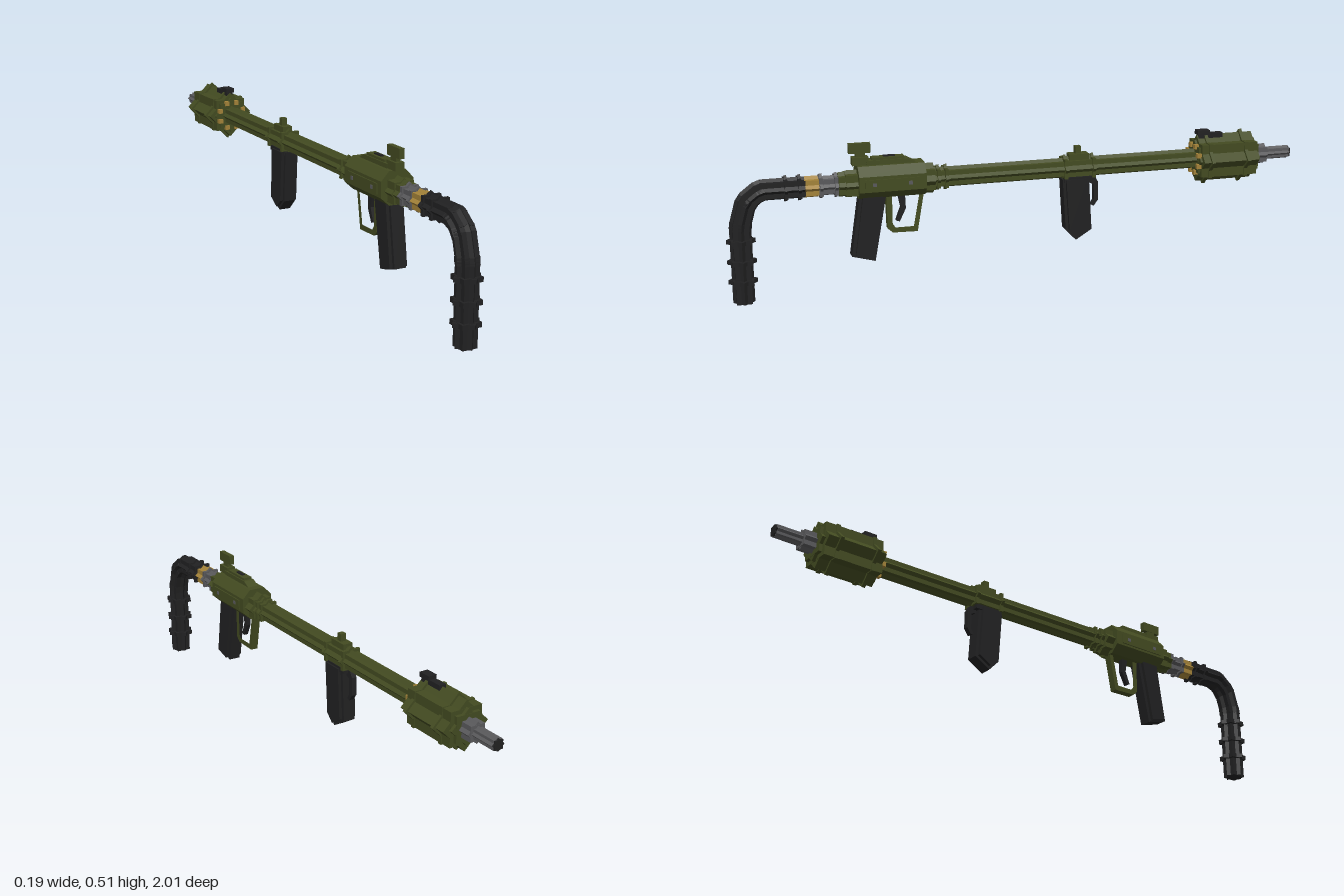
import * as THREE from 'three';

const flat = (name, color) => Object.assign(new THREE.MeshStandardMaterial({ color }), { name });
const AXIS = 0.383; // height of the main tube axis

export function createModel() {
  const green = flat('olive green', 0x434b21);
  const black = flat('black rubber', 0x212122);
  const grey = flat('gunmetal', 0x5a5a5c);
  const gold = flat('brass', 0xa48339);
  const root = new THREE.Group();

  const box = (name, mat, x0, x1, y0, y1, z0, z1, parent = root) => {
    const m = new THREE.Mesh(new THREE.BoxGeometry(x1 - x0, y1 - y0, z1 - z0), mat);
    m.position.set((x0 + x1) / 2, (y0 + y1) / 2, (z0 + z1) / 2);
    m.name = name;
    parent.add(m);
    return m;
  };

  // Eight-pointed bar between two [y, z] points: a square bar crossed with a diamond one
  const bar = (name, mat, a, b, half, diag) => {
    const g = new THREE.Group();
    const dy = b[0] - a[0], dz = b[1] - a[1], l = Math.hypot(dy, dz) / 2;
    const d = diag / Math.SQRT2;
    box(name + 'Square', mat, -half, half, -half, half, -l, l, g);
    box(name + 'Diamond', mat, -d, d, -d, d, -l + 0.001, l - 0.001, g).rotation.z = Math.PI / 4;
    g.position.set(0, (a[0] + b[0]) / 2, (a[1] + b[1]) / 2);
    g.rotation.x = Math.atan2(-dy, dz);
    g.name = name;
    root.add(g);
  };
  const axial = (name, mat, z0, z1, half, diag) => bar(name, mat, [AXIS, z0], [AXIS, z1], half, diag);

  // Side outline in [z, y], extruded across x
  const side = (name, mat, pts, width, hole) => {
    const s = new THREE.Shape(pts.map(p => new THREE.Vector2(...p)));
    if (hole) s.holes.push(new THREE.Path(hole.map(p => new THREE.Vector2(...p))));
    const geo = new THREE.ExtrudeGeometry(s, { depth: width, bevelEnabled: false });
    geo.rotateY(-Math.PI / 2).translate(width / 2, 0, 0);
    const m = new THREE.Mesh(geo, mat);
    m.name = name;
    root.add(m);
  };

  // Fuel hose: vertical run, bend and horizontal run
  const path = [[0.003, 0.957], [0.268, 0.957], [0.348, 0.934], [AXIS, 0.888], [AXIS, 0.742]];
  for (let i = 0; i < 4; i++) bar('hose', black, path[i], path[i + 1], 0.026, 0.036);
  bar('hoseElbow', black, [0.255, 0.957], [0.28, 0.954], 0.027, 0.037);
  bar('hoseElbow', black, [0.335, 0.938], [0.358, 0.922], 0.027, 0.037);
  bar('hoseElbow', black, [0.375, 0.9], [0.384, 0.875], 0.027, 0.037);
  for (const y of [0.078, 0.146, 0.216]) bar('hoseRing', black, [y - 0.008, 0.957], [y + 0.008, 0.957], 0.034, 0.048);
  for (const z of [0.76, 0.805]) axial('hoseRing', black, z - 0.006, z + 0.006, 0.032, 0.044);

  // Brass and steel coupling
  axial('brassCoupling', gold, 0.697, 0.745, 0.026, 0.036);
  axial('steelCoupling', grey, 0.63, 0.7, 0.024, 0.033);
  for (const z of [0.64, 0.69]) axial('couplingRing', grey, z - 0.006, z + 0.006, 0.03, 0.042);

  // Receiver
  const section = new THREE.Shape([[-0.028, 0.335], [0.028, 0.335], [0.058, 0.362], [0.058, 0.415],
    [0.03, 0.445], [-0.03, 0.445], [-0.058, 0.415], [-0.058, 0.362]].map(p => new THREE.Vector2(...p)));
  const body = new THREE.Mesh(new THREE.ExtrudeGeometry(section, { depth: 0.225, bevelEnabled: false }), green);
  body.position.z = 0.345;
  body.name = 'receiver';
  root.add(body);
  axial('receiverRear', green, 0.56, 0.61, 0.035, 0.046);
  axial('receiverRearRing', green, 0.608, 0.633, 0.03, 0.042);
  side('receiverTop', green, [[0.53, 0.42], [0.54, 0.46], [0.4, 0.46], [0.345, 0.43], [0.345, 0.42]], 0.04);
  box('topRail', green, -0.016, 0.016, 0.455, 0.468, 0.41, 0.52);
  box('railCatch', black, -0.006, 0.006, 0.466, 0.472, 0.44, 0.48);
  axial('receiverFront', green, 0.31, 0.35, 0.035, 0.052);
  for (const s of [-1, 1]) {
    box('sidePanel', green, s * 0.058 - 0.004, s * 0.058 + 0.004, 0.37, 0.405, 0.37, 0.55);
    for (const z of [0.4, 0.52]) box('sideBolt', grey, s * 0.062 - 0.002, s * 0.062 + 0.002, 0.382, 0.394, z - 0.006, z + 0.006);
  }

  // Rear sight
  box('sightBase', green, -0.016, 0.016, 0.445, 0.472, 0.53, 0.585);
  box('sightPost', green, -0.008, 0.008, 0.465, 0.495, 0.54, 0.572);
  box('sightBlock', green, -0.009, 0.009, 0.485, 0.518, 0.522, 0.595);

  // Rear grip, trigger and guard
  side('rearGrip', black, [[0.565, 0.345], [0.597, 0.135], [0.518, 0.113], [0.475, 0.345]], 0.042);
  side('rearGripSides', black, [[0.555, 0.345], [0.585, 0.135], [0.528, 0.12], [0.488, 0.345]], 0.064);
  side('triggerGuard', green, [[0.475, 0.345], [0.472, 0.22], [0.455, 0.205], [0.37, 0.203], [0.345, 0.345]], 0.026,
    [[0.455, 0.335], [0.455, 0.235], [0.445, 0.222], [0.383, 0.222], [0.362, 0.335]]);
  side('trigger', black, [[0.435, 0.34], [0.425, 0.29], [0.442, 0.245], [0.43, 0.24], [0.408, 0.285], [0.41, 0.34]], 0.016);

  // Main tube and collars
  axial('mainTube', green, -0.65, 0.32, 0.025, 0.035);
  for (const z of [0.27, 0.297]) axial('tubeCollar', green, z - 0.006, z + 0.006, 0.032, 0.044);

  // Foregrip mount
  axial('foregripMount', green, -0.255, -0.145, 0.028, 0.04);
  for (const z of [-0.15, -0.25]) axial('mountCollar', green, z - 0.006, z + 0.006, 0.034, 0.046);
  box('mountTop', green, -0.018, 0.018, 0.41, 0.432, -0.235, -0.165);
  box('frontSight', green, -0.01, 0.01, 0.43, 0.458, -0.208, -0.188);
  box('mountBottom', black, -0.026, 0.026, 0.335, 0.352, -0.25, -0.145);
  side('foregrip', black, [[-0.14, 0.345], [-0.152, 0.165], [-0.19, 0.125], [-0.247, 0.16], [-0.235, 0.345]], 0.042);
  side('foregripSides', black, [[-0.15, 0.345], [-0.163, 0.165], [-0.192, 0.137], [-0.236, 0.165], [-0.224, 0.345]], 0.064);
  side('foregripLever', black, [[-0.24, 0.345], [-0.24, 0.325], [-0.257, 0.318], [-0.258, 0.262], [-0.248, 0.245],
    [-0.258, 0.24], [-0.274, 0.262], [-0.273, 0.325], [-0.262, 0.345]], 0.018);

  // Nozzle tank with flanges and brass fittings
  axial('tank', green, -0.85, -0.64, 0.058, 0.084);
  for (const z of [-0.672, -0.806]) axial('tankFlange', green, z - 0.007, z + 0.007, 0.061, 0.095);
  axial('tankFrontCap', green, -0.645, -0.632, 0.046, 0.066);
  axial('tankEndCap', green, -0.862, -0.845, 0.044, 0.062);
  for (let i = 0; i < 8; i++) {
    const a = (i + 0.5) * Math.PI / 4, x = Math.cos(a) * 0.05, y = AXIS + Math.sin(a) * 0.05;
    box('brassFitting', gold, x - 0.008, x + 0.008, y - 0.008, y + 0.008, -0.64, -0.624);
  }
  box('tankSightBase', black, -0.012, 0.012, 0.455, 0.472, -0.735, -0.645);
  box('tankSight', black, -0.015, 0.015, 0.468, 0.484, -0.685, -0.64);

  // Nozzle
  axial('nozzleBase', grey, -0.905, -0.855, 0.026, 0.036);
  axial('nozzle', grey, -0.995, -0.9, 0.016, 0.023);
  axial('nozzleTip', black, -1, -0.993, 0.015, 0.021);
  return root;
}
